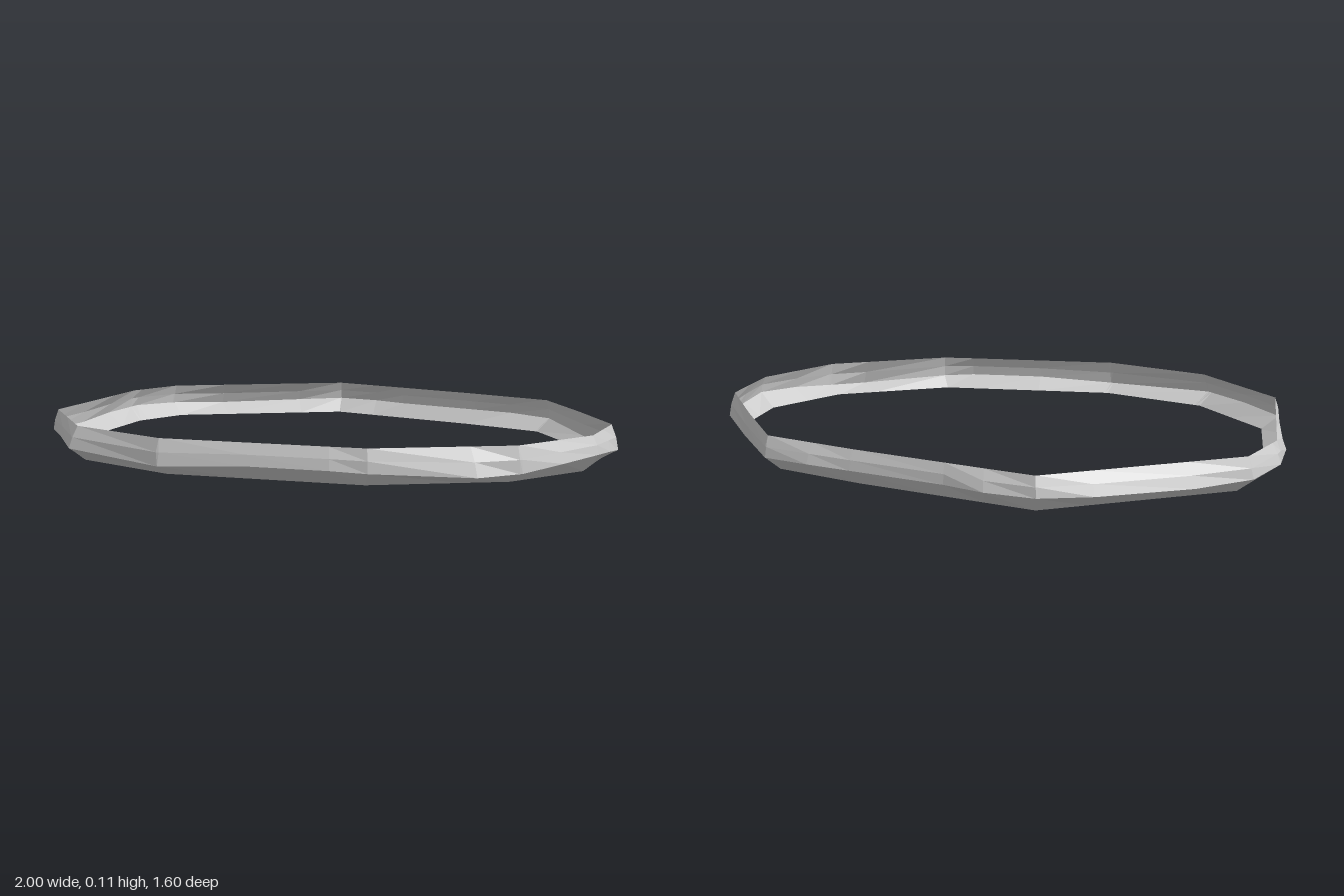
import * as THREE from 'three';

const HEIGHT = 0.113;

// Corner outlines [x, z] of the top rim and the smaller bottom rim
const topRim = [
  [0.98, -0.08], [0.905, 0.235], [0.59, 0.555], [-0.02, 0.775], [-0.41, 0.745], [-0.77, 0.505],
  [-0.972, -0.06], [-0.96, -0.28], [-0.51, -0.768], [0.1, -0.778], [0.43, -0.768], [0.67, -0.56], [0.91, -0.34],
];
const bottomRim = [
  [0.95, -0.08], [0.87, 0.22], [0.57, 0.53], [-0.02, 0.745], [-0.41, 0.715], [-0.73, 0.49],
  [-0.935, -0.05], [-0.925, -0.27], [-0.495, -0.735], [0.1, -0.75], [0.41, -0.735], [0.65, -0.54], [0.88, -0.32],
];
// Widest line of the band [x, z, y]
const waist = [
  [1.0, -0.08, 0.055], [0.97, 0.08, 0.045], [0.92, 0.23, 0.03], [0.84, 0.35, 0.025], [0.6, 0.56, 0.04],
  [0.5, 0.61, 0.045], [0.25, 0.7, 0.045], [-0.01, 0.795, 0.03], [-0.42, 0.775, 0.043], [-0.61, 0.64, 0.05],
  [-0.78, 0.52, 0.045], [-0.86, 0.31, 0.04], [-0.95, 0.1, 0.045], [-1.0, -0.1, 0.05], [-0.98, -0.28, 0.045],
  [-0.86, -0.44, 0.04], [-0.65, -0.67, 0.045], [-0.52, -0.78, 0.05], [-0.36, -0.8, 0.05], [-0.22, -0.787, 0.05],
  [0.26, -0.8, 0.05], [0.43, -0.785, 0.045], [0.7, -0.55, 0.03], [0.93, -0.35, 0.03], [0.97, -0.22, 0.045],
];

const angleOf = ([x, z]) => (Math.atan2(z, x) + 2 * Math.PI) % (2 * Math.PI);

// Point where a ray from the centre crosses an outline
function pointAt(outline, angle) {
  const dx = Math.cos(angle), dz = Math.sin(angle);
  for (let i = 0; i < outline.length; i++) {
    const a = outline[i], b = outline[(i + 1) % outline.length];
    const sa = dx * a[1] - dz * a[0], sb = dx * b[1] - dz * b[0];
    if (sa > 1e-9 || sb < -1e-9 || dx * (a[0] + b[0]) + dz * (a[1] + b[1]) < 0) continue;
    const t = sb - sa < 1e-9 ? 0 : -sa / (sb - sa);
    return a.map((v, k) => v + (b[k] - v) * t);
  }
  return outline[0];
}

// One station of the band: bottom, waist, faint upper ridge, top
function section(angle) {
  const b = pointAt(bottomRim, angle), w = pointAt(waist, angle), t = pointAt(topRim, angle);
  const dent = Math.abs(angle - 1.09) < 0.08 ? -0.004 : 0.004;
  const ridge = (k) => (w[k] + t[k]) / 2;
  const r = Math.hypot(ridge(0), ridge(1));
  const s = 1 + dent / r;
  return [
    new THREE.Vector3(b[0], 0, b[1]),
    new THREE.Vector3(w[0], w[2], w[1]),
    new THREE.Vector3(ridge(0) * s, (w[2] + HEIGHT) / 2, ridge(1) * s),
    new THREE.Vector3(t[0], HEIGHT, t[1]),
  ];
}

export function createModel() {
  // Stations at every corner of the three outlines
  const angles = [...topRim, ...bottomRim, ...waist].map(angleOf).sort((p, q) => p - q)
    .filter((a, i, all) => i === 0 || a - all[i - 1] > 0.004);
  const sections = angles.map(section);

  const positions = [];
  sections.forEach((s, i) => {
    const n = sections[(i + 1) % sections.length];
    for (let k = 0; k < 3; k++) {
      for (const p of [s[k], s[k + 1], n[k + 1], s[k], n[k + 1], n[k]]) positions.push(p.x, p.y, p.z);
    }
  });
  const geometry = new THREE.BufferGeometry();
  geometry.setAttribute('position', new THREE.Float32BufferAttribute(positions, 3));
  geometry.computeVertexNormals();

  // Thin open band
  const band = new THREE.Mesh(geometry, new THREE.MeshStandardMaterial({
    color: 0xcccccc, flatShading: true, side: THREE.DoubleSide,
  }));
  band.name = 'ringBand';

  const group = new THREE.Group();
  group.name = 'facetedRing';
  group.add(band);
  return group;
}
